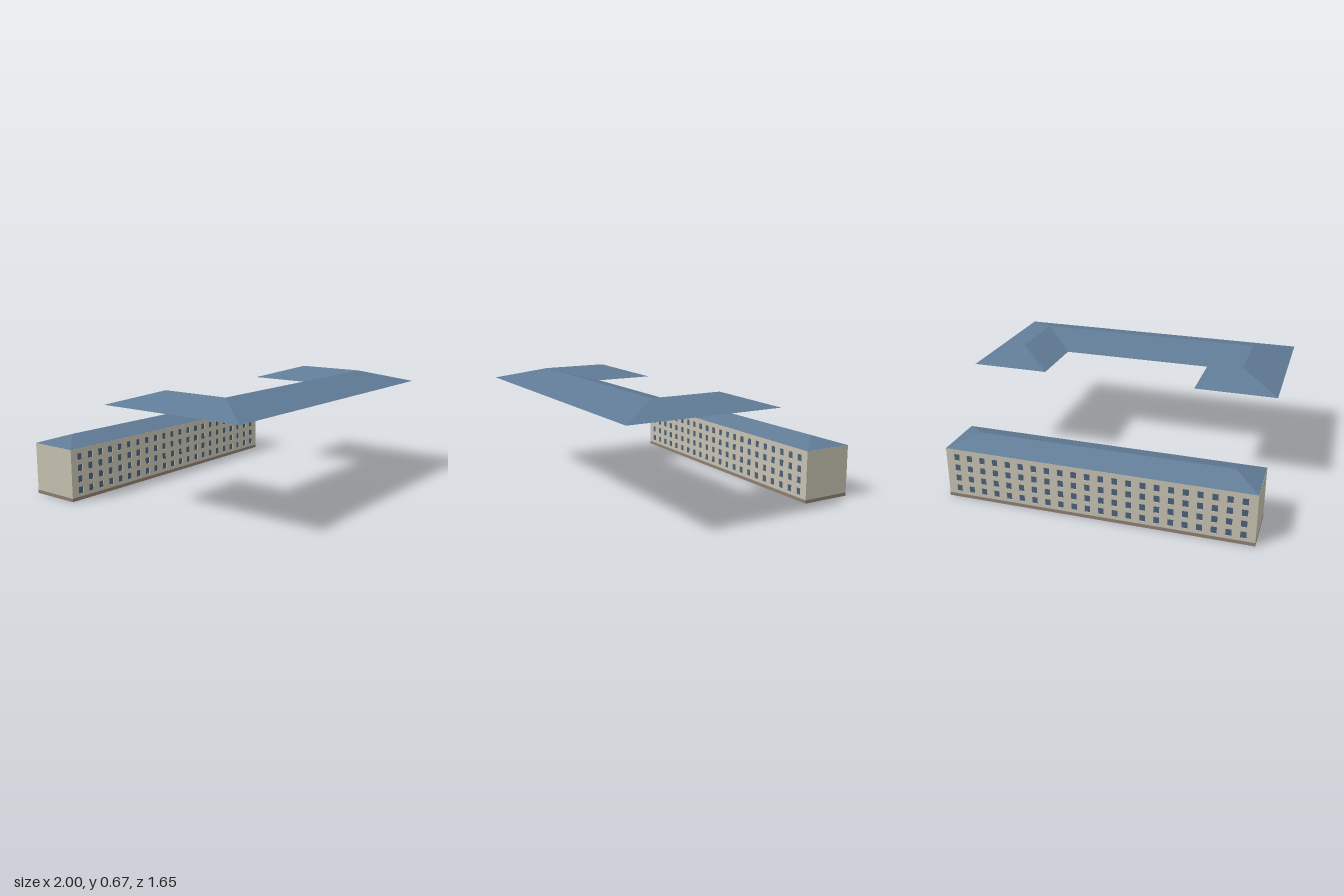
import * as THREE from 'three';

const mat = (color, extra = {}) => new THREE.MeshStandardMaterial({ color, ...extra });
const roofMat = mat(0x607b96, { side: THREE.DoubleSide, flatShading: true });
const wallMat = mat(0xc4c0b0);
const plinthMat = mat(0x8c7d72);
const glassMat = mat(0x4c6078);

const LENGTH = 1.79, WIDTH = 0.31;      // long block footprint
const PLINTH = 0.02, EAVE = 0.305, RIDGE = 0.358;
const RECESS = 0.005;                   // window depth

function add(parent, name, geometry, material, x = 0, y = 0, z = 0) {
  const mesh = new THREE.Mesh(geometry, material);
  mesh.name = name;
  mesh.position.set(x, y, z);
  parent.add(mesh);
  return mesh;
}

// Roof from corner points and convex slopes, every slope turned to face upward
function roofGeometry(points, slopes) {
  const pts = points.map(p => new THREE.Vector3(...p));
  const out = [];
  for (const s of slopes) {
    for (let i = 1; i < s.length - 1; i++) {
      const [a, b, c] = [pts[s[0]], pts[s[i]], pts[s[i + 1]]];
      const n = b.clone().sub(a).cross(c.clone().sub(a));
      const tri = n.y >= 0 ? [a, b, c] : [a, c, b];
      tri.forEach(v => out.push(v.x, v.y, v.z));
    }
  }
  const g = new THREE.BufferGeometry();
  g.setAttribute('position', new THREE.Float32BufferAttribute(out, 3));
  g.computeVertexNormals();
  return g;
}

// Wall sheet pierced by a grid of windows
function facadeGeometry() {
  const h = LENGTH / 2;
  const shape = new THREE.Shape();
  shape.moveTo(-h, PLINTH).lineTo(h, PLINTH).lineTo(h, EAVE).lineTo(-h, EAVE).closePath();
  const cols = 22, rows = 4, w = 0.0165, t = 0.02;
  for (let c = 0; c < cols; c++) {
    for (let r = 0; r < rows; r++) {
      const x = (c - (cols - 1) / 2) * 0.079, y = 0.058 + r * 0.0667;
      const hole = new THREE.Path();
      hole.moveTo(x - w, y - t).lineTo(x - w, y + t).lineTo(x + w, y + t).lineTo(x + w, y - t).closePath();
      shape.holes.push(hole);
    }
  }
  return new THREE.ExtrudeGeometry(shape, { depth: RECESS, bevelEnabled: false });
}

function longBlock() {
  const block = new THREE.Group();
  block.name = 'longBlock';
  const wallH = EAVE - PLINTH, midY = (EAVE + PLINTH) / 2;
  const coreZ = WIDTH / 2 - RECESS;
  add(block, 'plinth', new THREE.BoxGeometry(LENGTH + 0.002, PLINTH, WIDTH + 0.002), plinthMat, 0, PLINTH / 2);
  add(block, 'wallCore', new THREE.BoxGeometry(LENGTH, wallH, 2 * coreZ), wallMat, 0, midY);

  // Windowed walls front and back, with glass behind the openings
  const facade = facadeGeometry();
  ['front', 'back'].forEach((side, i) => {
    const face = new THREE.Group();
    face.name = side + 'Facade';
    face.rotation.y = i * Math.PI;
    add(face, 'windowedWall', facade, wallMat, 0, 0, coreZ);
    add(face, 'windowGlass', new THREE.PlaneGeometry(LENGTH - 0.04, wallH - 0.02), glassMat, 0, midY, coreZ + 0.001);
    block.add(face);
  });

  // Hipped roof
  const x = LENGTH / 2, z = WIDTH / 2, r = 0.747;
  add(block, 'eaveBand', new THREE.BoxGeometry(LENGTH + 0.002, 0.006, WIDTH + 0.002), wallMat, 0, EAVE);
  const y = EAVE + 0.003;
  add(block, 'hippedRoof', roofGeometry(
    [[-x, y, z], [x, y, z], [x, y, -z], [-x, y, -z], [-r, RIDGE, 0], [r, RIDGE, 0]],
    [[0, 1, 5, 4], [1, 2, 5], [2, 3, 4, 5], [3, 0, 4]]), roofMat);
  return block;
}

// Open, floating U-shaped hipped roof
function courtyardRoof() {
  const lo = 0.6, hi = 0.672;
  const points = [
    [-0.942, lo, -0.165], [-0.46, lo, -0.165], [-0.46, lo, 0.206], [0.468, lo, 0.206],
    [0.468, lo, -0.176], [0.942, lo, -0.176], [0.942, lo, 0.75], [-0.942, lo, 0.75],
    [-0.702, hi, 0.066], [-0.702, hi, 0.477], [0.705, hi, 0.477], [0.705, hi, 0.056],
  ];
  const slopes = [
    [0, 1, 8], [1, 2, 9, 8], [2, 3, 10, 9], [3, 4, 11, 10],
    [4, 5, 11], [5, 6, 10, 11], [6, 7, 9, 10], [7, 0, 8, 9],
  ];
  return roofGeometry(points, slopes);
}

export function createModel() {
  const model = new THREE.Group();
  model.name = 'buildingComplex';
  // Whole site is turned slightly off the axes
  const site = new THREE.Group();
  site.name = 'site';
  site.rotation.y = 0.0783;
  model.add(site);

  const block = longBlock();
  block.position.set(-0.047, 0, -0.611);
  site.add(block);
  add(site, 'courtyardRoof', courtyardRoof(), roofMat);
  return model;
}
